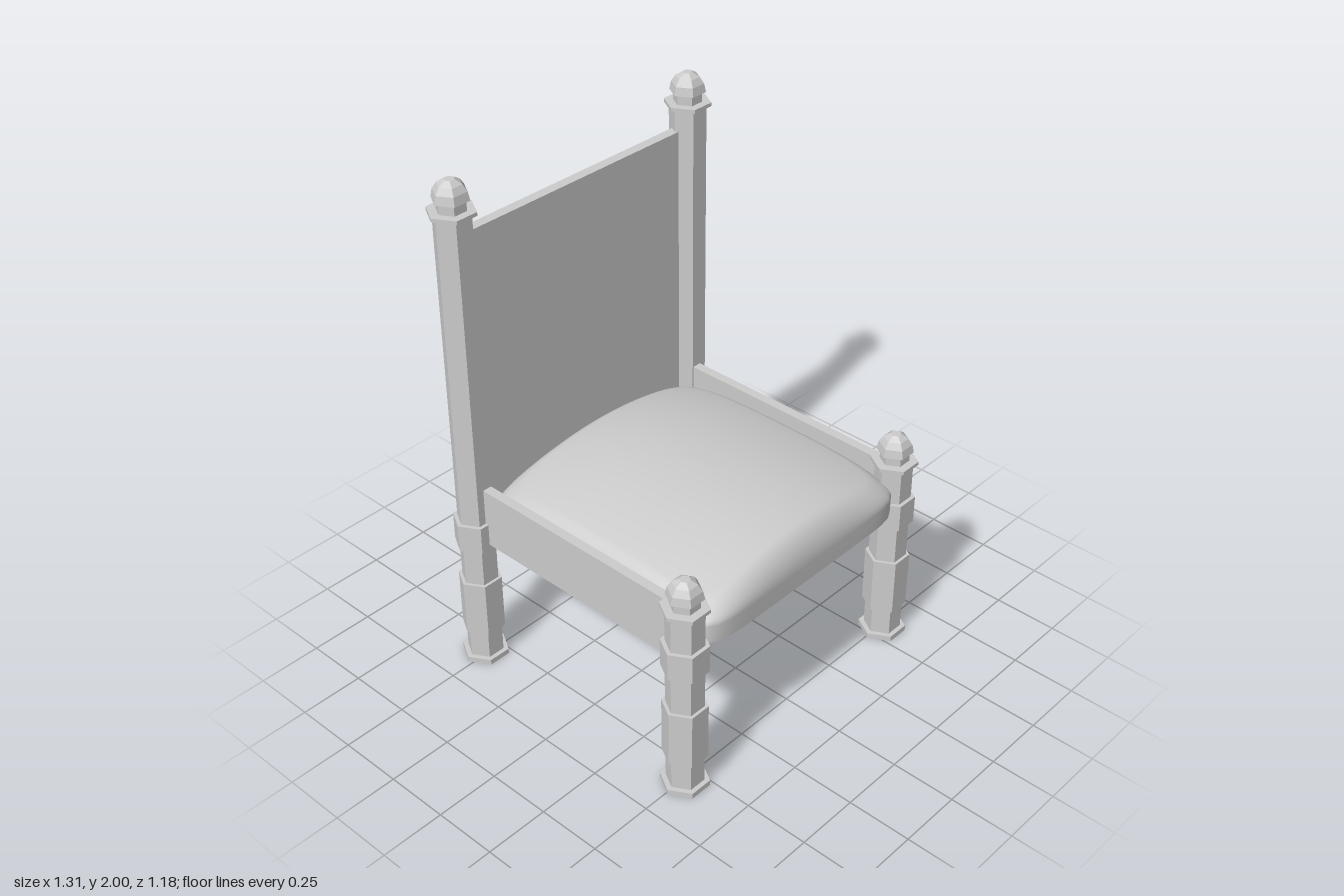
import * as THREE from 'three';

const material = new THREE.MeshStandardMaterial({ color: 0xcccccc });
const facetedMaterial = new THREE.MeshStandardMaterial({
  color: 0xcccccc, flatShading: true, side: THREE.DoubleSide,
});

function addBox(group, name, [x0, x1], [y0, y1], [z0, z1]) {
  const mesh = new THREE.Mesh(new THREE.BoxGeometry(x1 - x0, y1 - y0, z1 - z0), material);
  mesh.position.set((x0 + x1) / 2, (y0 + y1) / 2, (z0 + z1) / 2);
  mesh.name = name;
  group.add(mesh);
}

// Six-sided turned post: foot, two swellings, collar and domed finial
function postGeometry(height) {
  const h = height;
  const profile = [
    [0.09, 0], [0.09, 0.022], [0.07, 0.022], [0.07, 0.14],
    [0.083, 0.14], [0.083, 0.37], [0.07, 0.37], [0.07, 0.53],
    [0.086, 0.53], [0.086, 0.64], [0.07, 0.64],
    [0.07, h - 0.125], [0.088, h - 0.125], [0.088, h - 0.111], [0.054, h - 0.111],
    [0.054, h - 0.072], [0.068, h - 0.072], [0.061, h - 0.04],
    [0.045, h - 0.016], [0.02, h], [0, h],
  ].map(([r, y]) => new THREE.Vector2(r, y));
  return new THREE.LatheGeometry(profile, 6, Math.PI / 2);
}

// Rounded-square outline of the cushion, in -1..1
const SIDES = 96;
const HALF_X = 0.535, HALF_Z = 0.543, MID_Z = 0.042;
function outline(i) {
  const a = (i / SIDES) * Math.PI * 2;
  const c = Math.cos(a), s = Math.sin(a);
  const k = Math.pow(Math.abs(c) ** 10 + Math.abs(s) ** 10, -0.1);
  return [c * k, s * k];
}

// Domed top and sides of the cushion as rings shrinking toward the crown
function cushionGeometry() {
  const low = 0.69, round = 0.13;
  const rings = [1.0];
  for (let i = 1; i <= 8; i++) rings.push(1 - round * (1 - Math.cos((i / 8) * Math.PI / 2)));
  for (let i = 1; i <= 10; i++) rings.push((1 - round) * (1 - i / 10));
  const positions = [], indices = [];
  const rows = [null, ...rings];
  rows.forEach((r) => {
    for (let i = 0; i <= SIDES; i++) {
      const [ou, ov] = outline(i % SIDES);
      const scale = r === null ? 1 : r;
      const u = ou * scale, v = ov * scale;
      const top = 0.858 - 0.1 * u * u - 0.055 * Math.abs(v) ** 3;
      const t = Math.max(0, (scale - 1 + round) / round);
      const y = r === null ? 0.62 : low + (top - low) * Math.sqrt(Math.max(0, 1 - t * t));
      positions.push(u * HALF_X, y, v * HALF_Z + MID_Z);
    }
  });
  const n = SIDES + 1;
  for (let j = 0; j < rows.length - 1; j++) {
    for (let i = 0; i < SIDES; i++) {
      const a = j * n + i, b = a + 1, c = a + n, d = c + 1;
      indices.push(a, c, b);
      if (j < rows.length - 2) indices.push(b, c, d);
    }
  }
  const geometry = new THREE.BufferGeometry();
  geometry.setAttribute('position', new THREE.Float32BufferAttribute(positions, 3));
  geometry.setIndex(indices);
  geometry.computeVertexNormals();
  return geometry;
}

export function createModel() {
  const chair = new THREE.Group();
  chair.name = 'chair';

  // Posts, mirrored left and right
  const frontPost = postGeometry(0.91), backPost = postGeometry(2);
  for (const side of [-1, 1]) {
    const label = side > 0 ? 'left' : 'right';
    const front = new THREE.Mesh(frontPost, facetedMaterial);
    front.position.set(side * 0.561, 0, 0.508);
    front.name = label + 'FrontLeg';
    const back = new THREE.Mesh(backPost, facetedMaterial);
    back.position.set(side * 0.566, 0, -0.518);
    back.name = label + 'BackPost';
    chair.add(front, back);

    // Side panel between the posts
    const xs = [side * 0.535, side * 0.572].sort((a, b) => a - b);
    addBox(chair, label + 'SidePanel', xs, [0.55, 0.786], [-0.5, 0.5]);
  }

  // Tall back panel
  addBox(chair, 'backPanel', [-0.56, 0.56], [0.55, 1.79], [-0.545, -0.505]);

  // Cushion and its flat underside
  const cushion = new THREE.Mesh(cushionGeometry(), material);
  cushion.name = 'seatCushion';
  const points = Array.from({ length: SIDES }, (_, i) => {
    const [u, v] = outline(i);
    return new THREE.Vector2(u * HALF_X, v * HALF_Z + MID_Z);
  });
  const baseGeometry = new THREE.ShapeGeometry(new THREE.Shape(points));
  baseGeometry.rotateX(Math.PI / 2);
  const base = new THREE.Mesh(baseGeometry, material);
  base.position.y = 0.62;
  base.name = 'seatUnderside';
  chair.add(cushion, base);

  return chair;
}
